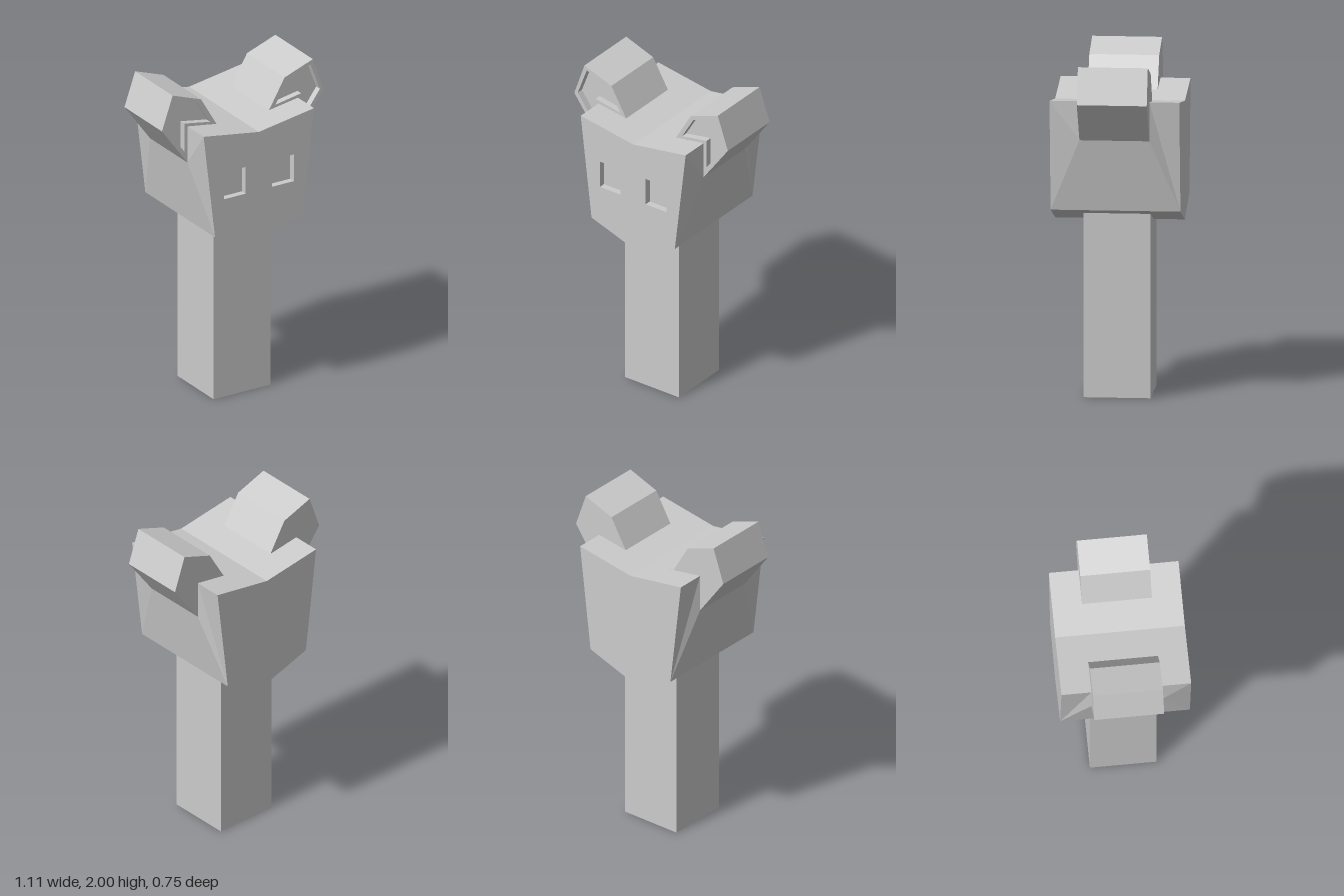
import * as THREE from 'three';
import { mergeGeometries } from 'three/addons/utils/BufferGeometryUtils.js';

const FRONT = 0.377, EAR = 0.203, RECESS = 0.04;
const material = new THREE.MeshStandardMaterial({ color: 0xcccccc, flatShading: true });

// Polygons given as corner loops, counter-clockwise from outside; flip for the mirrored side
function polygons(faces, flip = false) {
  const pos = [];
  for (const face of faces) {
    const f = flip ? [...face].reverse() : face;
    for (let i = 1; i < f.length - 1; i++) pos.push(...f[0], ...f[i], ...f[i + 1]);
  }
  const g = new THREE.BufferGeometry();
  g.setAttribute('position', new THREE.Float32BufferAttribute(pos, 3));
  g.computeVertexNormals();
  return g;
}

// Walls along a counter-clockwise path between two depths
function walls(pts, z0, z1, { closed = true, inward = false } = {}) {
  const faces = [];
  for (let i = 0; i < pts.length - (closed ? 0 : 1); i++) {
    const a = pts[i], b = pts[(i + 1) % pts.length];
    faces.push([[...a, z0], [...b, z0], [...b, z1], [...a, z1]]);
  }
  return polygons(faces, inward);
}

const vectors = (pts) => pts.map(([x, y]) => new THREE.Vector2(x, y));

// Flat panel facing front or back, with optional holes
function panel(pts, z, holes = [], back = false) {
  const shape = new THREE.Shape(vectors(back ? pts.map(([x, y]) => [-x, y]) : pts));
  holes.forEach((h) => shape.holes.push(new THREE.Path(vectors(h))));
  const g = new THREE.ShapeGeometry(shape).toNonIndexed();
  g.deleteAttribute('uv');
  if (back) g.rotateY(Math.PI);
  return g.translate(0, 0, z);
}

// Sunken pocket: inner walls and floor
const pocket = (pts, z) => [walls(pts, z - RECESS, z, { inward: true }), panel(pts, z - RECESS)];

// Mirror a counter-clockwise outline in x, keeping its winding
const side = (pts, s) => (s > 0 ? pts : pts.map(([x, y]) => [-x, y]).reverse());

function part(name, geometries) {
  const mesh = new THREE.Mesh(mergeGeometries(geometries), material);
  mesh.name = name;
  return mesh;
}

export function createModel() {
  const model = new THREE.Group();
  model.name = 'headOnPost';

  // Post, with a notched top that meets the underside of the head
  const postOutline = [[-0.194, 0], [0.194, 0], [0.194, 1.088], [0, 1.02], [-0.194, 1.088]];
  const post = [walls(postOutline, -0.194, 0.194), panel(postOutline, 0.194),
    panel(postOutline, -0.194, [], true)];
  model.add(part('post', post));

  // Head: face panel with eye openings, back panel, then the two skinned halves
  const headOutline = [[0, 1.02], [0.3, 1.123], [0.378, 1.78], [0, 1.72], [-0.378, 1.78], [-0.3, 1.123]];
  const eye = [[0.09, 1.35], [0.24, 1.35], [0.24, 1.52], [0.09, 1.52]];
  const eyes = [1, -1].map((s) => side(eye, s));
  const head = [panel(headOutline, FRONT, eyes), panel(headOutline, -FRONT, [], true)];

  for (const s of [1, -1]) {
    const v = (x, y, z) => [s * x, y, z];
    const chin = (z) => v(0, 1.02, z), jaw = (z) => v(0.3, 1.123, z);
    const corner = (z) => v(0.378, 1.78, z), crown = (z) => v(0, 1.72, z);
    const root = (z) => v(0.18, 1.7486, z), cheek = (z) => v(0.378, 1.55, z);
    const F = FRONT, E = EAR;
    head.push(polygons([
      // underside
      [chin(-F), jaw(-F), jaw(F), chin(F)],
      // cheek, rising to the ear root
      [corner(F), jaw(F), cheek(E)],
      [corner(F), cheek(E), corner(E)],
      [jaw(F), jaw(-F), cheek(E)],
      [cheek(E), jaw(-F), cheek(-E)],
      [corner(-E), cheek(-E), jaw(-F)],
      [corner(-E), jaw(-F), corner(-F)],
      // top, open beneath the ear
      [crown(F), corner(F), corner(E), crown(E)],
      [crown(E), root(E), root(-E), crown(-E)],
      [crown(-E), corner(-E), corner(-F), crown(-F)],
    ], s < 0));
  }
  model.add(part('head', head));
  model.add(part('eyeSockets', eyes.flatMap((e) => pocket(e, FRONT))));

  // Ears wrapped over the upper corners, each with a sunken inner panel
  const rim = [[0.378, 1.55], [0.553, 1.79], [0.48, 2.0], [0.286, 1.93], [0.18, 1.7486]];
  const inner = [[0.4, 1.625], [0.528, 1.8], [0.463, 1.972], [0.305, 1.91], [0.223, 1.772], [0.4, 1.803]];
  for (const s of [1, -1]) {
    const outline = side([...rim, [0.378, 1.78]], s), hollow = side(inner, s);
    model.add(part(s > 0 ? 'leftEar' : 'rightEar', [
      walls(side(rim, s), -EAR, EAR, { closed: false }),
      panel(outline, EAR, [hollow]),
      panel(outline, -EAR, [], true),
      ...pocket(hollow, EAR),
    ]));
  }
  return model;
}
